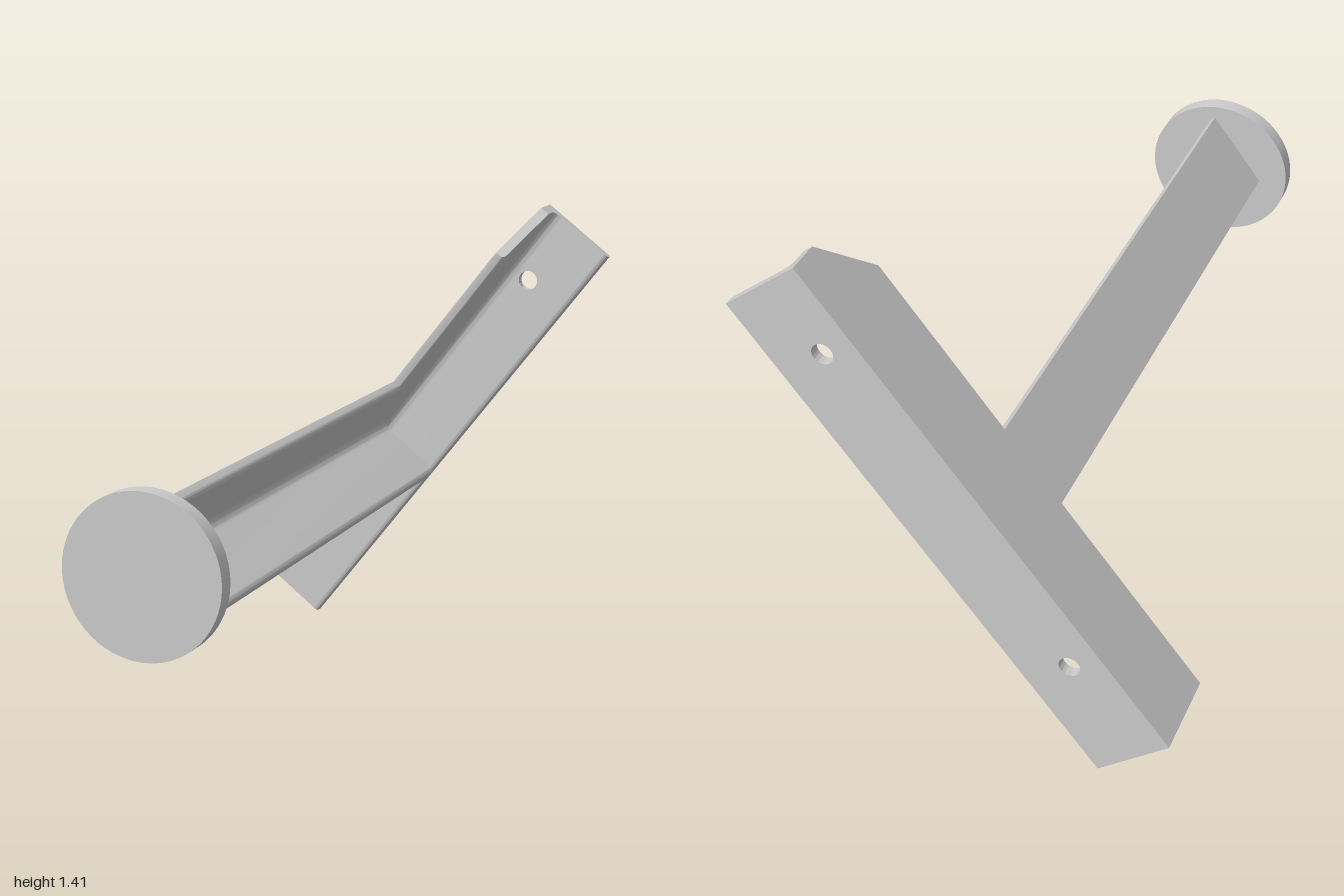
import * as THREE from 'three';
import { toCreasedNormals } from 'three/addons/utils/BufferGeometryUtils.js';

const L = 0.797;   // half length of the wall bar
const H = 0.125;   // half width of each angle leg
const T = 0.03;    // leg thickness
const R = 0.015;   // toe rounding
const F = 0.03;    // inner fillet

const material = new THREE.MeshStandardMaterial({ color: 0xcccccc });

function extrude(shape, depth) {
  return new THREE.ExtrudeGeometry(shape, { depth, bevelEnabled: false, curveSegments: 8 });
}

function part(name, geometry) {
  const mesh = new THREE.Mesh(toCreasedNormals(geometry, 0.5), material);
  mesh.name = name;
  return mesh;
}

// Extrudes a (y, z) section along the length of the bar
function alongBar(shape) {
  const basis = new THREE.Matrix4().makeBasis(
    new THREE.Vector3(0, 1, 0), new THREE.Vector3(0, 0, 1), new THREE.Vector3(1, 0, 0));
  return extrude(shape, 2 * L).applyMatrix4(basis).translate(-L, 0, 0);
}

// Flat plate strip with two bolt holes
function platePart() {
  const y0 = -H + R, y1 = H - T - F;
  const s = new THREE.Shape();
  s.moveTo(-L, y0).lineTo(L, y0).lineTo(L, y1).lineTo(-L, y1).closePath();
  for (const x of [-0.476, 0.572]) {
    s.holes.push(new THREE.Path().absarc(x, 0.025, 0.03, 0, Math.PI * 2, true));
  }
  const geometry = new THREE.ExtrudeGeometry(s, { depth: T, bevelEnabled: false, curveSegments: 32 });
  return part('wallPlate', geometry.translate(0, 0, -1));
}

// Rounded free edge of the plate
function toePart() {
  const s = new THREE.Shape();
  s.moveTo(-H, -1).lineTo(-H + R, -1).lineTo(-H + R, -1 + T);
  s.quadraticCurveTo(-H, -1 + T, -H, -1 + T - R).closePath();
  return part('plateEdge', alongBar(s));
}

// Filleted root of the bar
function rootPart() {
  const s = new THREE.Shape();
  s.moveTo(H, -1).lineTo(H, -0.9).lineTo(H - T, -0.9).lineTo(H - T, -1 + T + F);
  s.quadraticCurveTo(H - T, -1 + T, H - T - F, -1 + T).lineTo(H - T - F, -1).closePath();
  return part('barRoot', alongBar(s));
}

// Standing flange, cut off at a slant at its upper end
function flangePart() {
  const s = new THREE.Shape();
  s.moveTo(H - T, -0.9).lineTo(H, -0.9).lineTo(H, -0.75).lineTo(H - T + R, -0.75);
  s.quadraticCurveTo(H - T, -0.75, H - T, -0.75 - R).closePath();
  const geometry = alongBar(s);
  const p = geometry.attributes.position;
  for (let i = 0; i < p.count; i++) {
    if (p.getX(i) > 0) p.setX(i, L - (p.getZ(i) + 0.9) * 1.06);
  }
  geometry.computeVertexNormals();
  return part('barFlange', geometry);
}

// Projecting arm: an L section from the plate to the end disc
function armPart() {
  const w = 0.253;
  const s = new THREE.Shape();
  s.moveTo(0, 0).lineTo(w, 0).lineTo(w, T - R).quadraticCurveTo(w, T, w - R, T);
  s.lineTo(T + F, T).quadraticCurveTo(T, T, T, T + F);
  s.lineTo(T, w - R).quadraticCurveTo(T, w, T - R, w).lineTo(0, w).closePath();
  const mesh = part('arm', extrude(s, 1.925));
  mesh.rotation.z = -Math.PI / 2;
  mesh.position.set(-0.154, H, -0.972);
  return mesh;
}

function discPart() {
  const disc = part('endDisc', new THREE.CylinderGeometry(0.22, 0.22, 0.05, 72));
  disc.rotation.x = Math.PI / 2;
  disc.position.set(-0.058, 0.031, 0.975);
  return disc;
}

export function createModel() {
  const bracket = new THREE.Group();
  bracket.name = 'bracket';
  bracket.add(platePart(), toePart(), rootPart(), flangePart(), armPart(), discPart());
  // The whole bracket leans along the slanted bar
  bracket.rotation.z = 0.912;
  bracket.position.y = 0.707;
  const model = new THREE.Group();
  model.name = 'wallBracket';
  model.add(bracket);
  return model;
}
